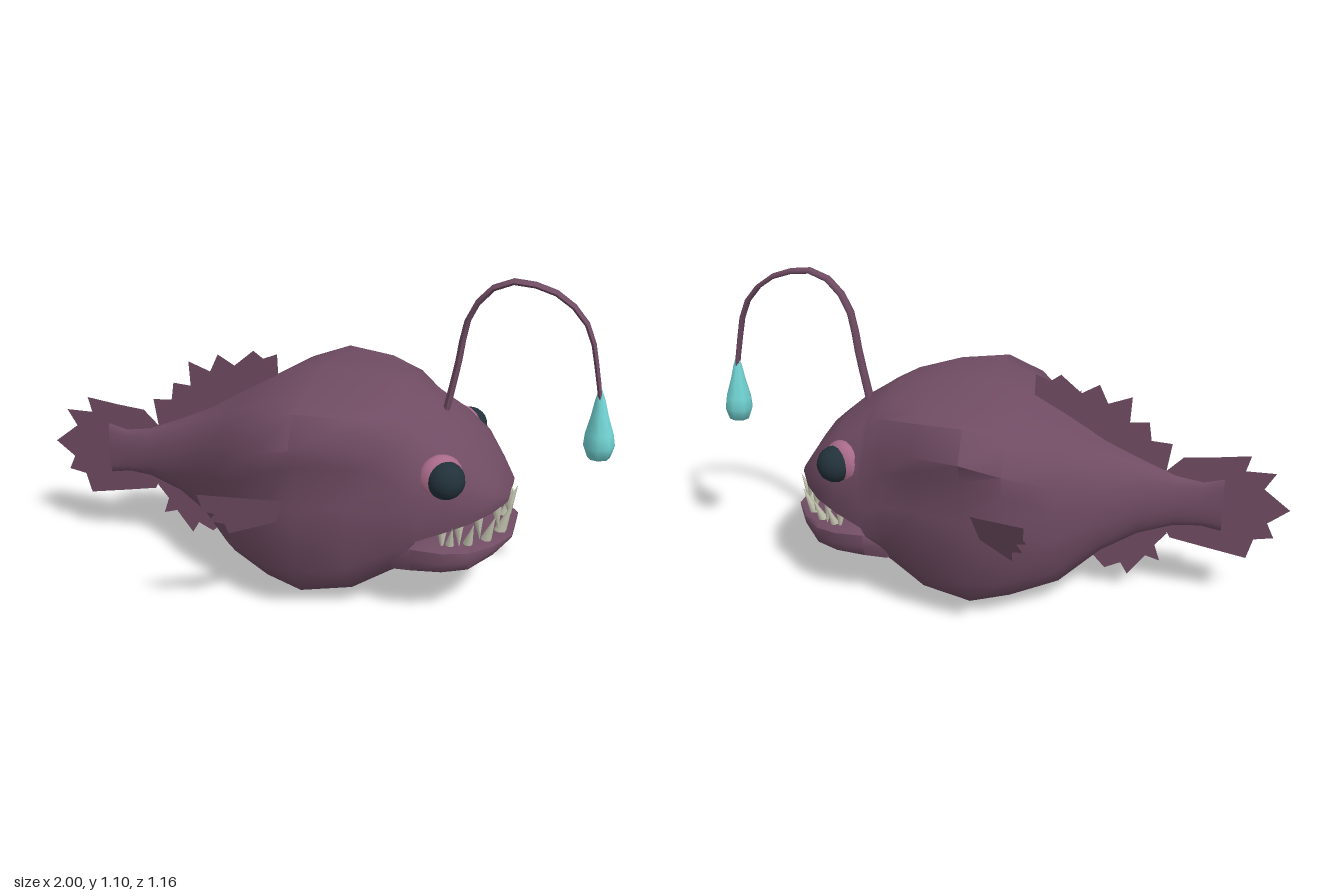
import * as THREE from 'three';
import { toCreasedNormals } from 'three/addons/utils/BufferGeometryUtils.js';

const mat = (name, color, side = THREE.FrontSide) => {
  const m = new THREE.MeshStandardMaterial({ color, side });
  m.name = name;
  return m;
};

// Half cross-sections as [width, height] fractions, from top centre to bottom centre
const ROUND = Array.from({ length: 9 }, (_, i) => {
  const a = (i / 8) * Math.PI;
  return [Math.sin(a), (1 + Math.cos(a)) / 2];
});
const BOXY = [[0, 1], [0.64, 0.945], [0.86, 0.94], [1, 0.81], [0.93, 0.72], [0.917, 0.52], [0.89, 0.217], [0.67, 0.066], [0, 0]];
const NECK = [[0, 1], [0.45, 0.97], [0.75, 0.89], [0.94, 0.73], [1, 0.57], [1, 0.4], [0.98, 0.22], [0.68, 0.06], [0, 0]];
const HEAD = [[0, 1], [0.45, 0.96], [0.75, 0.85], [0.94, 0.62], [1, 0.4], [1, 0.15], [0.97, 0], [0.5, 0.02], [0, 0.03]];
const JAW = [[0, 1], [0.5, 1], [0.93, 1], [1, 0.9], [1, 0.6], [0.95, 0.3], [0.7, 0.12], [0.35, 0.03], [0, 0]];
const mix = (a, b, t) => a.map((p, i) => [p[0] + (b[i][0] - p[0]) * t, p[1] + (b[i][1] - p[1]) * t]);

// Skin closed mirrored sections along x; station = [x, bottom, top, halfWidth, section]
function loft(stations, crease) {
  const pos = [], idx = [], n = 16;
  for (const [x, bot, top, half, sec] of stations) {
    for (let j = 0; j < n; j++) {
      const [u, v] = sec[j <= 8 ? j : n - j];
      pos.push(x, bot + v * (top - bot), (j <= 8 ? 1 : -1) * u * half);
    }
  }
  const last = stations.length - 1;
  for (let i = 0; i < last; i++) {
    for (let j = 0; j < n; j++) {
      const a = i * n + j, b = i * n + (j + 1) % n;
      idx.push(a, b, a + n, b, b + n, a + n);
    }
  }
  for (const i of [0, last]) {
    const [x, bot, top] = stations[i], c = pos.length / 3;
    pos.push(x, (bot + top) / 2, 0);
    for (let j = 0; j < n; j++) {
      const a = i * n + j, b = i * n + (j + 1) % n;
      if (i) idx.push(c, a, b); else idx.push(c, b, a);
    }
  }
  const g = new THREE.BufferGeometry();
  g.setAttribute('position', new THREE.Float32BufferAttribute(pos, 3));
  g.setIndex(idx);
  return toCreasedNormals(g, crease);
}

const flat = (pts) => new THREE.ShapeGeometry(new THREE.Shape(pts.map((p) => new THREE.Vector2(...p))));

export function createModel() {
  const model = new THREE.Group();
  model.name = 'deepSeaFish';
  const skin = mat('plum skin', 0x704c63);
  const finSkin = mat('plum fin', 0x704c63, THREE.DoubleSide);
  const pink = mat('pink eyelid', 0xa86a88);
  const dark = mat('dark eye', 0x22313a);
  const ivory = mat('ivory tooth', 0xc4c4b0);
  const teal = mat('teal lure', 0x72d4d4);
  const add = (name, geo, material, parent = model) => {
    const m = new THREE.Mesh(geo, material);
    m.name = name;
    parent.add(m);
    return m;
  };

  // Body with the upper head
  add('body', loft([
    [-0.78, 0.27, 0.463, 0.014, ROUND],
    [-0.71, 0.283, 0.445, 0.02, ROUND],
    [-0.62, 0.275, 0.46, 0.035, ROUND],
    [-0.5, 0.235, 0.51, 0.075, ROUND],
    [-0.38, 0.17, 0.565, 0.16, mix(ROUND, BOXY, 0.2)],
    [-0.25, 0.065, 0.645, 0.285, mix(ROUND, BOXY, 0.5)],
    [-0.1, 0.033, 0.73, 0.4, mix(ROUND, BOXY, 0.8)],
    [0.03, 0.005, 0.765, 0.42, BOXY],
    [0.2, 0.03, 0.752, 0.377, BOXY],
    [0.32, 0.1, 0.74, 0.32, mix(BOXY, NECK, 0.5)],
    [0.39, 0.14, 0.7, 0.293, NECK],
    [0.41, 0.29, 0.685, 0.287, HEAD],
    [0.5, 0.325, 0.625, 0.267, HEAD],
    [0.58, 0.35, 0.555, 0.225, HEAD],
    [0.64, 0.367, 0.465, 0.16, HEAD],
    [0.68, 0.38, 0.405, 0.085, HEAD],
  ], 0.95), skin);

  // Lower jaw
  add('lowerJaw', loft([
    [0.33, 0.13, 0.25, 0.26, JAW],
    [0.4, 0.143, 0.28, 0.29, JAW],
    [0.5, 0.153, 0.275, 0.285, JAW],
    [0.58, 0.163, 0.268, 0.25, JAW],
    [0.65, 0.205, 0.263, 0.175, JAW],
    [0.7, 0.248, 0.262, 0.09, JAW],
  ], 0.95), skin);

  // Interlocking teeth around the mouth arc
  const teeth = new THREE.Group();
  teeth.name = 'teeth';
  model.add(teeth);
  const tooth = (name, deg, up) => {
    const a = THREE.MathUtils.degToRad(deg), c = Math.cos(a), s = Math.sin(a);
    const x = 0.43 + 0.235 * c, z = 0.245 * s;
    const base = new THREE.Vector3(x, up ? 0.255 : 0.3 + 0.33 * (x - 0.41), z);
    const small = 1 - 0.25 * Math.abs(s);
    const lean = up ? 0.04 : 0.015;
    const dir = new THREE.Vector3(c * lean, (up ? 0.125 : -0.1) * small, s * lean);
    const len = dir.length();
    const m = add(name, new THREE.ConeGeometry(0.023 * small, len, 7).translate(0, len / 2, 0), ivory, teeth);
    m.position.copy(base);
    m.quaternion.setFromUnitVectors(new THREE.Vector3(0, 1, 0), dir.normalize());
  };
  for (const d of [0, 25, -25, 45, -45, 62, -62, 75, -75]) tooth('upperTooth', d, false);
  for (const d of [15, -15, 36, -36, 54, -54, 69, -69]) tooth('lowerTooth', d, true);

  for (const side of [1, -1]) {
    const label = side > 0 ? 'left' : 'right';
    // Eye ball set in a raised lid
    const lid = add(label + 'Eyelid', new THREE.SphereGeometry(0.077, 16, 12).scale(1, 1, 0.62), pink);
    lid.position.set(0.476, 0.503, side * 0.225);
    lid.rotation.y = side > 0 ? 0.55 : Math.PI - 0.55;
    const ball = add(label + 'Eye', new THREE.SphereGeometry(0.062, 16, 12), dark);
    ball.position.set(0.497, 0.505, side * 0.247);

    // Swept pectoral fin, drawn in z-y and pulled back toward the tail
    const g = flat([[0.37, 0.425], [0.42, 0.445], [0.58, 0.515], [0.555, 0.46], [0.56, 0.452], [0.52, 0.425],
      [0.527, 0.402], [0.487, 0.378], [0.467, 0.335], [0.37, 0.347]]);
    const p = g.attributes.position;
    for (let i = 0; i < p.count; i++) {
      const z = p.getX(i), y = p.getY(i);
      p.setXYZ(i, -1.29 * (z - 0.385) - 0.49 * (0.43 - y), y, side * z);
    }
    g.computeVertexNormals();
    add(label + 'PectoralFin', g, finSkin);
  }

  // Ragged flat fins on the centre line
  add('tailFin', flat([[-0.58, 0.45], [-0.585, 0.475], [-0.64, 0.53], [-0.74, 0.54], [-0.86, 0.556], [-0.845, 0.5],
    [-0.945, 0.5], [-0.91, 0.44], [-1, 0.37], [-0.93, 0.315], [-0.955, 0.262], [-0.89, 0.25],
    [-0.87, 0.176], [-0.74, 0.2], [-0.61, 0.225], [-0.58, 0.28]]), finSkin);
  add('dorsalFin', flat([[-0.58, 0.44], [-0.6, 0.575], [-0.53, 0.58], [-0.52, 0.645], [-0.455, 0.64], [-0.46, 0.73],
    [-0.38, 0.7], [-0.35, 0.765], [-0.29, 0.73], [-0.22, 0.79], [-0.185, 0.765], [-0.135, 0.785],
    [-0.13, 0.68], [-0.3, 0.52]]), finSkin);
  add('analFin', flat([[-0.58, 0.32], [-0.6, 0.24], [-0.56, 0.19], [-0.58, 0.13], [-0.53, 0.145], [-0.47, 0.064],
    [-0.445, 0.107], [-0.39, 0.08], [-0.355, 0.118], [-0.28, 0.2]]), finSkin);

  // Tapered, flattened rod arching forward from the brow
  const path = new THREE.CatmullRomCurve3([[0.445, 0.62], [0.48, 0.8], [0.51, 0.97], [0.56, 1.05], [0.62, 1.09],
    [0.7, 1.09], [0.79, 1.06], [0.85, 1.01], [0.89, 0.95], [0.92, 0.83], [0.942, 0.71]]
    .map(([x, y]) => new THREE.Vector3(x, y, 0)));
  const rod = new THREE.TubeGeometry(path, 16, 0.025, 6);
  const rp = rod.attributes.position;
  for (let i = 0; i < rp.count; i++) {
    const t = Math.floor(i / 7) / 16, c = path.getPointAt(t), k = 1 - 0.4 * t;
    rp.setXYZ(i, c.x + (rp.getX(i) - c.x) * k * 0.5, c.y + (rp.getY(i) - c.y) * k * 0.5, rp.getZ(i) * k);
  }
  rod.computeVertexNormals();
  add('lureRod', rod, skin);

  // Hanging drop
  const drop = add('lureDrop', new THREE.LatheGeometry([[0, 0], [0.036, 0.003], [0.05, 0.045], [0.045, 0.085],
    [0.028, 0.145], [0.016, 0.2], [0, 0.25]].map((q) => new THREE.Vector2(...q)), 8), teal);
  drop.position.set(0.95, 0.532, 0);
  drop.rotation.z = 0.06;

  return model;
}
